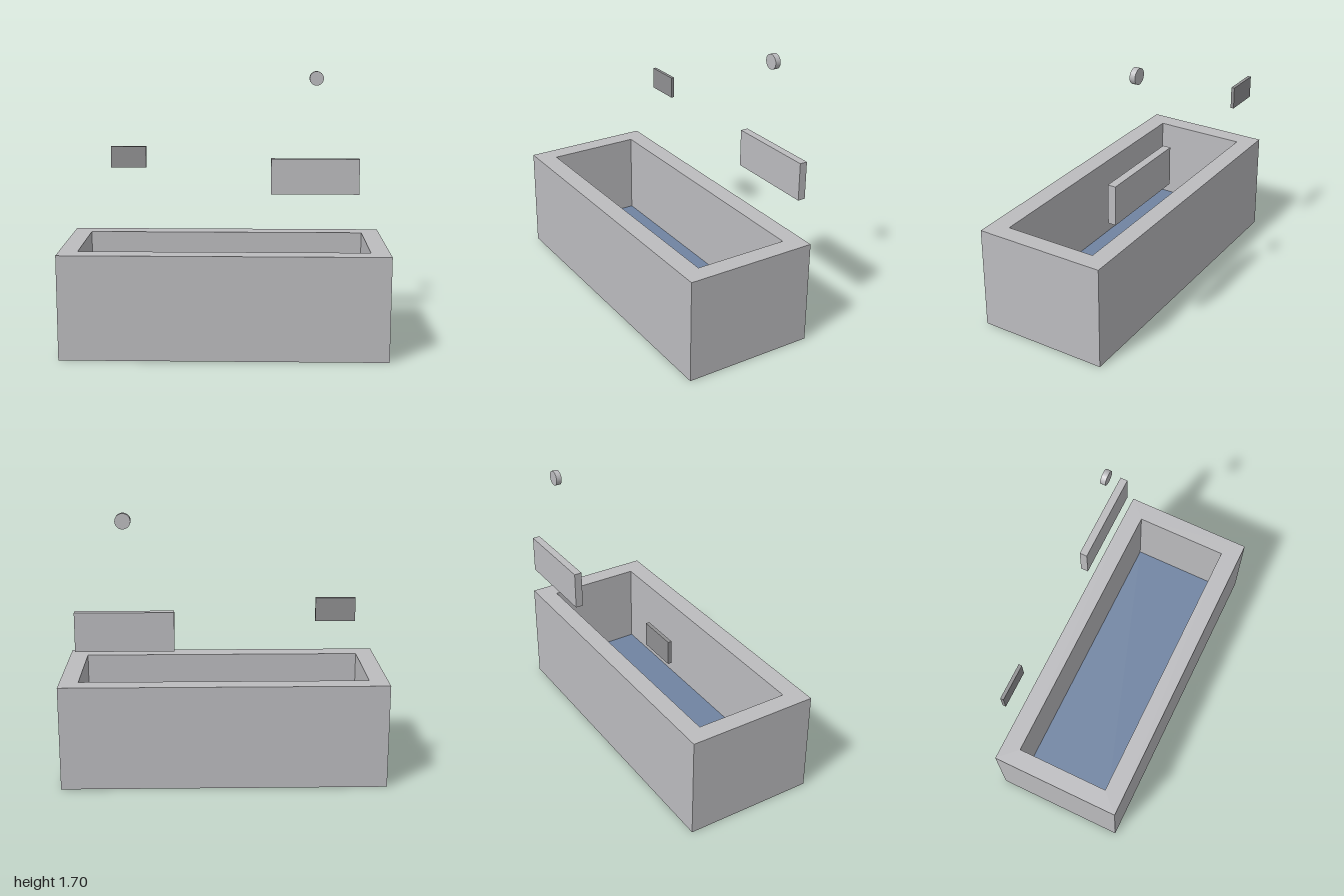
import * as THREE from 'three';

export function createModel() {
  const model = new THREE.Group();
  const paleGrey = new THREE.MeshStandardMaterial({ color: 0xbcbcbf });
  paleGrey.name = 'pale grey';
  const darkGrey = new THREE.MeshStandardMaterial({ color: 0x909092 });
  darkGrey.name = 'dark grey';
  const waterBlue = new THREE.MeshStandardMaterial({ color: 0x7084a2 });
  waterBlue.name = 'water blue';

  const add = (name, geometry, material, x, y, z) => {
    const mesh = new THREE.Mesh(geometry, material);
    mesh.name = name;
    mesh.position.set(x, y, z);
    model.add(mesh);
    return mesh;
  };
  // box given by its lower and upper bounds
  const addBox = (name, material, [x0, y0, z0], [x1, y1, z1]) =>
    add(name, new THREE.BoxGeometry(x1 - x0, y1 - y0, z1 - z0), material,
      (x0 + x1) / 2, (y0 + y1) / 2, (z0 + z1) / 2);
  // rectangle in plan, with shape y = -z
  const trace = (path, x, zBack, zFront) => path
    .moveTo(-x, -zFront).lineTo(x, -zFront).lineTo(x, -zBack).lineTo(-x, -zBack).closePath();

  // trough: four thick walls around a rectangular opening
  const height = 0.65, floorTop = 0.12;
  const plan = new THREE.Shape();
  trace(plan, 1, -0.395, 0.43);
  const opening = new THREE.Path();
  trace(opening, 0.885, -0.28, 0.31);
  plan.holes.push(opening);
  const walls = new THREE.ExtrudeGeometry(plan, { depth: height, bevelEnabled: false });
  walls.rotateX(-Math.PI / 2);
  add('troughWalls', walls, paleGrey, 0, 0, 0);

  // base closing the trough, and the blue surface inside it
  addBox('troughBase', paleGrey, [-0.885, 0, -0.28], [0.885, floorTop - 0.008, 0.31]);
  addBox('water', waterBlue, [-0.885, floorTop - 0.008, -0.28], [0.885, floorTop, 0.31]);

  // plates above the rear wall
  addBox('largePlate', paleGrey, [0.295, 0.885, -0.432], [0.878, 1.12, -0.384]);
  addBox('smallPlate', darkGrey, [-0.765, 1.06, -0.418], [-0.532, 1.2, -0.397]);

  // round knob facing forward
  const knob = new THREE.CylinderGeometry(0.046, 0.046, 0.034, 24);
  knob.rotateX(Math.PI / 2);
  add('knob', knob, paleGrey, 0.585, 1.65, -0.384);

  return model;
}
